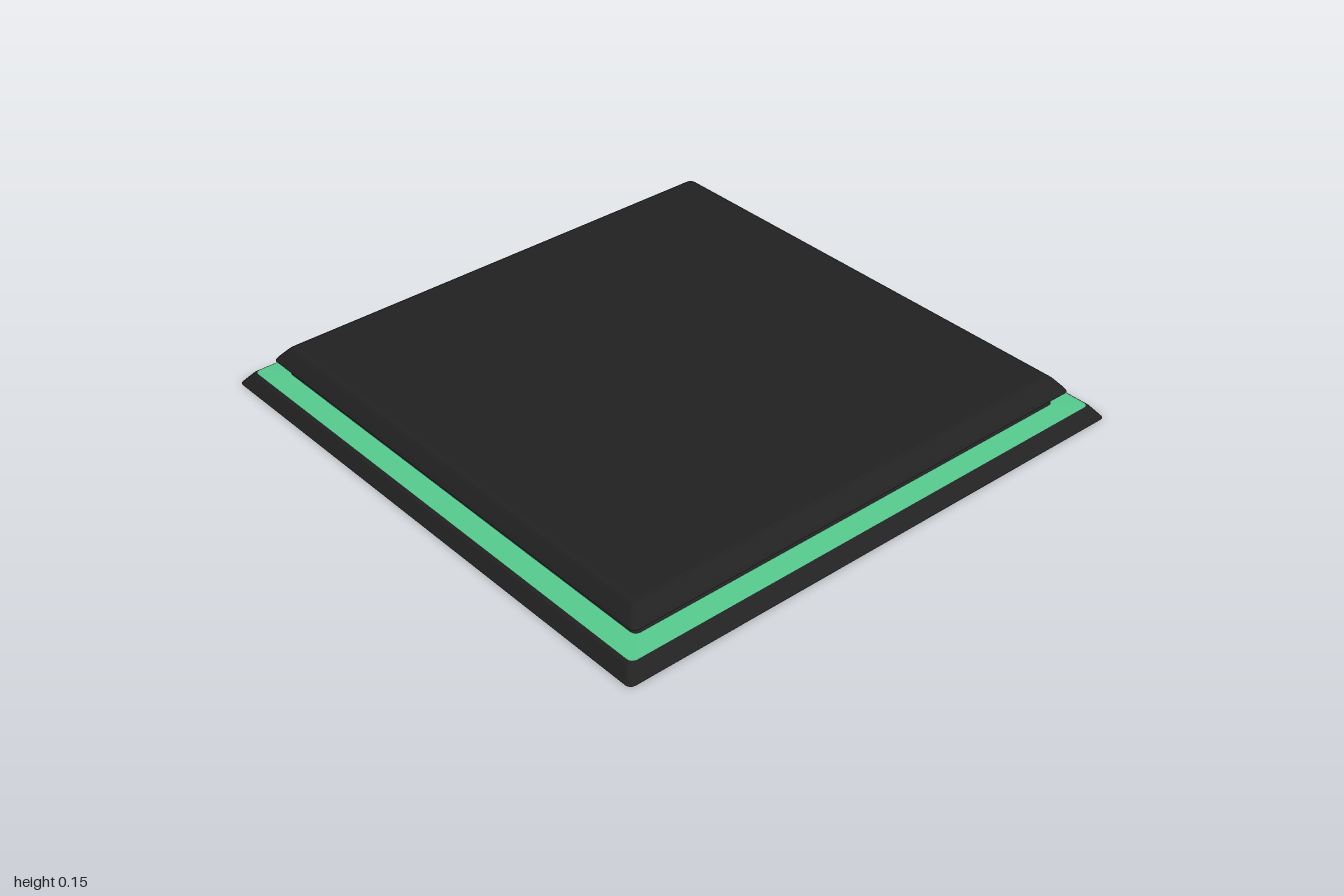
import * as THREE from 'three';

const SEG = 4; // steps per rounded corner

// Rounded square outline at height y
function outline([half, y, r]) {
  const pts = [];
  for (let c = 0; c < 4; c++) {
    const mid = (c + 0.5) * Math.PI / 2;
    const cx = Math.sign(Math.cos(mid)) * (half - r);
    const cz = Math.sign(Math.sin(mid)) * (half - r);
    for (let s = 0; s <= SEG; s++) {
      const a = (c + s / SEG) * Math.PI / 2;
      pts.push([cx + r * Math.cos(a), y, cz + r * Math.sin(a)]);
    }
  }
  return pts;
}

// Faceted shell through a list of [half width, height, corner radius] sections
function shell(name, sections, material) {
  const loops = sections.map(outline);
  const pos = [];
  for (let k = 0; k < loops.length - 1; k++) {
    const lo = loops[k], up = loops[k + 1], n = lo.length;
    for (let i = 0; i < n; i++) {
      const j = (i + 1) % n;
      pos.push(...lo[i], ...up[i], ...lo[j], ...lo[j], ...up[i], ...up[j]);
    }
  }
  const geo = new THREE.BufferGeometry();
  geo.setAttribute('position', new THREE.Float32BufferAttribute(pos, 3));
  geo.computeVertexNormals();
  const mesh = new THREE.Mesh(geo, material);
  mesh.name = name;
  return mesh;
}

export function createModel() {
  const dark = new THREE.MeshStandardMaterial({ color: 0x222222, side: THREE.DoubleSide });
  dark.name = 'charcoal';
  const green = new THREE.MeshStandardMaterial({ color: 0x57cc90, side: THREE.DoubleSide });
  green.name = 'mint green';

  const group = new THREE.Group();
  group.name = 'squarePad';
  group.add(
    // sloping outer rim, open underneath
    shell('baseSkirt', [[1, 0, 0.02], [0.97, 0.038, 0.02], [0.96, 0.045, 0.02]], dark),
    // flat coloured ledge
    shell('accentLedge', [[0.96, 0.045, 0.02], [0.88, 0.048, 0.02]], green),
    // recessed neck narrowing upward
    shell('neck', [[0.88, 0.048, 0.02], [0.845, 0.098, 0.02]], dark),
    // overhanging cap with bevelled edge and closed top
    shell('cap', [
      [0.845, 0.098, 0.02], [0.913, 0.096, 0.02], [0.905, 0.108, 0.02],
      [0.88, 0.138, 0.02], [0.87, 0.146, 0.02], [0.855, 0.15, 0.02], [0, 0.15, 0],
    ], dark),
  );
  return group;
}
